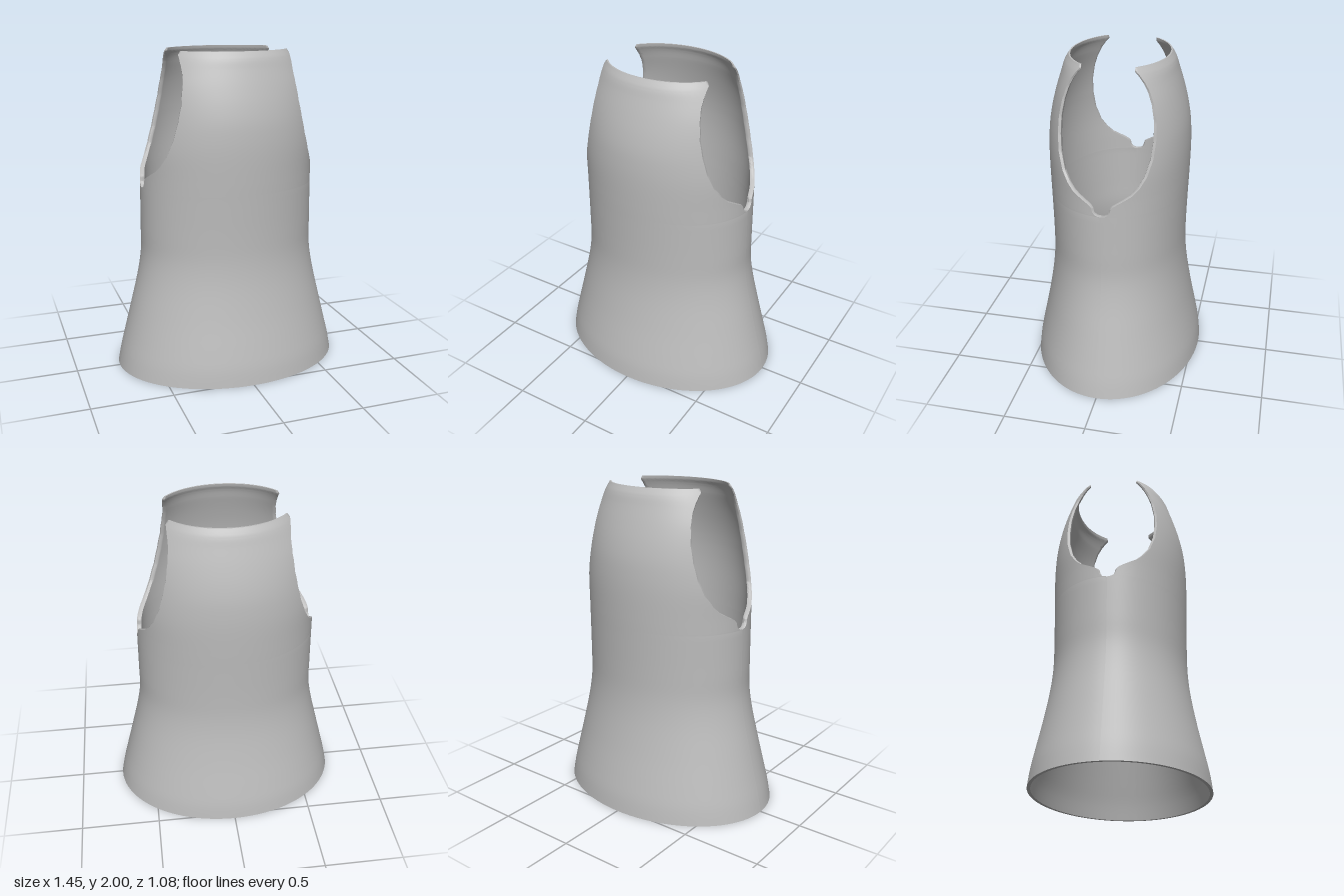
import * as THREE from 'three';
import { toCreasedNormals } from 'three/addons/utils/BufferGeometryUtils.js';

// Outer ellipse by height: [y, half width x, half depth z]
const PROFILE = [
  [0, 0.725, 0.54], [0.1, 0.705, 0.528], [0.2, 0.68, 0.508], [0.4, 0.63, 0.466], [0.6, 0.582, 0.432],
  [0.75, 0.558, 0.418], [0.9, 0.555, 0.417], [1.1, 0.552, 0.422], [1.25, 0.55, 0.427],
  [1.4, 0.55, 0.43], [1.5, 0.543, 0.428], [1.6, 0.53, 0.42], [1.7, 0.515, 0.402],
  [1.8, 0.492, 0.376], [1.9, 0.45, 0.345], [1.96, 0.417, 0.325], [2, 0.393, 0.3],
];
// Half opening of the armhole in z by height, with the small notch at its foot
const ARMHOLE = [
  [0, 0], [1.17, 0], [1.174, 0.025], [1.185, 0.042], [1.2, 0.052], [1.225, 0.058], [1.238, 0.07],
  [1.25, 0.09], [1.27, 0.125], [1.3, 0.175], [1.34, 0.212], [1.4, 0.248], [1.5, 0.277],
  [1.6, 0.286], [1.7, 0.283], [1.8, 0.263], [1.87, 0.238], [1.92, 0.21], [1.96, 0.18],
  [1.98, 0.16], [2, 0.158],
];
const WALL = [[0, 0.02], [0.5, 0.028], [1.6, 0.028], [1.9, 0.022], [1.98, 0.018], [2, 0.009]];

function locate(table, y) {
  let i = 0;
  while (i < table.length - 2 && y > table[i + 1][0]) i++;
  return [i, (y - table[i][0]) / (table[i + 1][0] - table[i][0])];
}

function linear(table, y) {
  const [i, t] = locate(table, y);
  return table[i][1] + (table[i + 1][1] - table[i][1]) * t;
}

// Smooth cubic lookup in the profile
function smooth(table, y, col) {
  const [i, t] = locate(table, y);
  const slope = (k) => {
    const p = table[Math.max(k - 1, 0)], q = table[Math.min(k + 1, table.length - 1)];
    return (q[col] - p[col]) / (q[0] - p[0]);
  };
  const h = table[i + 1][0] - table[i][0], t2 = t * t, t3 = t2 * t;
  return table[i][col] * (2 * t3 - 3 * t2 + 1) + table[i + 1][col] * (3 * t2 - 2 * t3)
    + h * (slope(i) * (t3 - 2 * t2 + t) + slope(i + 1) * (t3 - t2));
}

// Row heights, denser around the notch and the neck
function heights() {
  const ys = [];
  const span = (from, to, n) => { for (let i = 0; i < n; i++) ys.push(from + (to - from) * i / n); };
  span(0, 1.17, 30);
  span(1.17, 1.3, 32);
  span(1.3, 1.9, 30);
  span(1.9, 2, 14);
  ys.push(2);
  return ys;
}

// One half of the garment: each row is a closed loop (outside, rounded edge, inside, rounded edge)
function panelGeometry() {
  const N = 64, L = 2 * N + 4;
  const pos = [], index = [], open = [];
  const ys = heights();
  for (const y of ys) {
    const a = smooth(PROFILE, y, 1), b = smooth(PROFILE, y, 2), w = linear(WALL, y);
    const start = Math.asin(linear(ARMHOLE, y) / b);
    const isOpen = start > 1e-6;
    const bulge = isOpen ? 0.4 * w / a : 0;
    const put = (angle, inset) => pos.push((a - inset) * Math.cos(angle), y, (b - inset) * Math.sin(angle));
    const angle = (j) => start + (Math.PI - 2 * start) * j / N;
    for (let j = 0; j <= N; j++) put(angle(j), 0);
    put(Math.PI - start + bulge, w / 2);
    for (let j = N; j >= 0; j--) put(angle(j), w);
    put(start - bulge, w / 2);
    open.push(isOpen);
  }
  const quad = (p, q, r, s) => index.push(p, q, r, p, r, s);
  for (let i = 0; i < ys.length - 1; i++) {
    for (let j = 0; j < L; j++) {
      const isEdge = j === N || j === N + 1 || j >= L - 2;
      if (isEdge && !open[i] && !open[i + 1]) continue;
      const k = (j + 1) % L;
      quad(i * L + j, (i + 1) * L + j, (i + 1) * L + k, i * L + k);
    }
  }
  // Hem at the bottom and neck edge at the top
  const top = (ys.length - 1) * L;
  for (let j = 0; j < N; j++) {
    const inner = 2 * N + 2 - j;
    quad(j, j + 1, inner - 1, inner);
    quad(top + j, top + inner, top + inner - 1, top + j + 1);
  }
  index.push(top, top + L - 1, top + L - 2, top + N, top + N + 2, top + N + 1);

  const g = new THREE.BufferGeometry();
  g.setAttribute('position', new THREE.Float32BufferAttribute(pos, 3));
  g.setIndex(index);
  return toCreasedNormals(g, 0.95);
}

export function createModel() {
  const group = new THREE.Group();
  group.name = 'sleevelessGarment';
  const cloth = new THREE.MeshStandardMaterial({ color: 0xbcbcbc });
  cloth.name = 'light grey cloth';

  const geometry = panelGeometry();
  ['frontPanel', 'backPanel'].forEach((name, i) => {
    const panel = new THREE.Mesh(geometry, cloth);
    panel.name = name;
    panel.rotation.y = i * Math.PI;
    group.add(panel);
  });
  return group;
}
